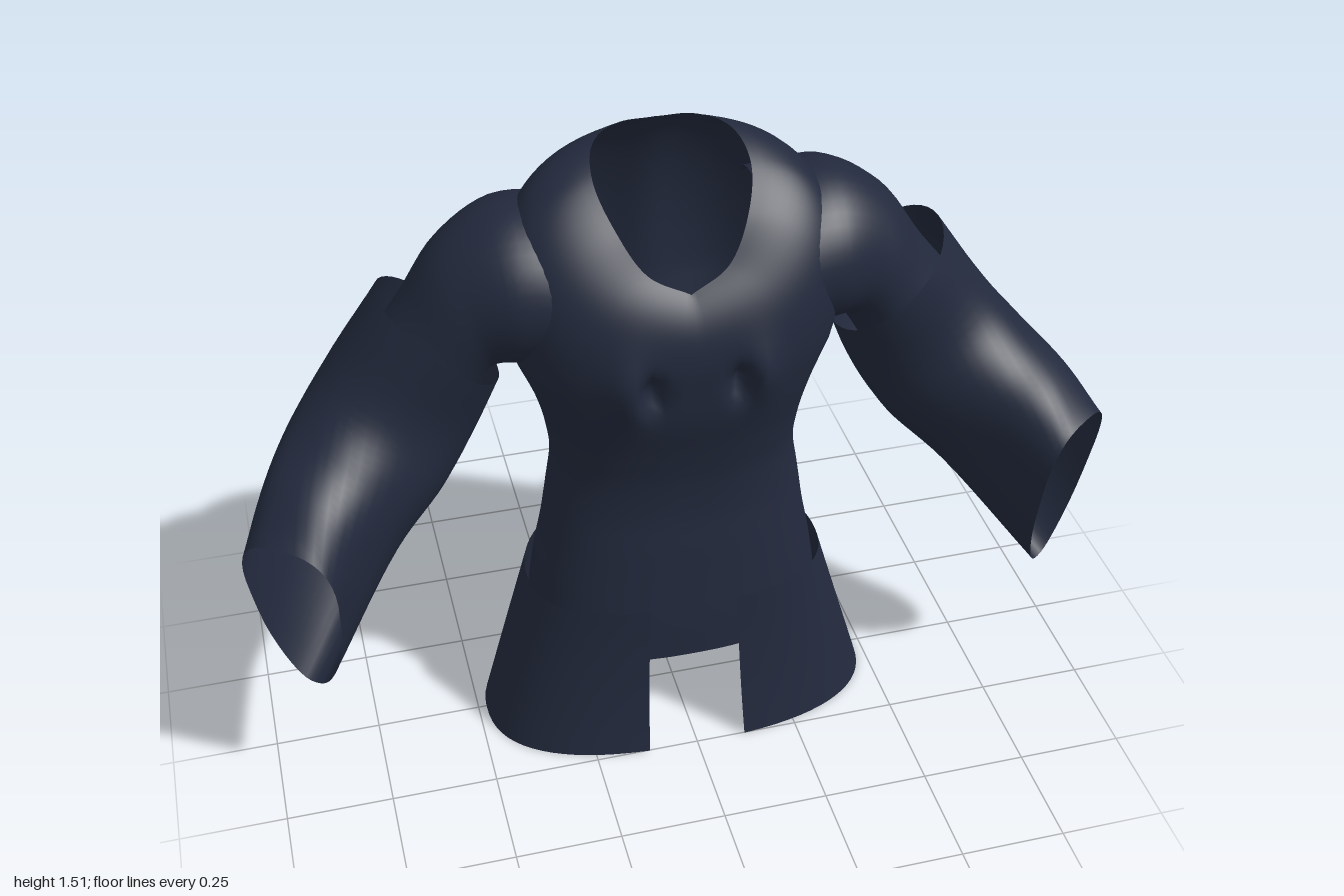
import * as THREE from 'three';

const cloth = new THREE.MeshStandardMaterial({ color: 0x22293c, side: THREE.DoubleSide });
const V = (x, y, z) => new THREE.Vector3(x, y, z);
const curve = (pts) => new THREE.CatmullRomCurve3(pts.map((p) => V(...p)));
const gauss = (d, w) => Math.exp(-(d * d) / (w * w));
const power = (x, e) => Math.sign(x) * Math.abs(x) ** e;

// Smooth sheet from point(u, v); u runs around, v runs along, optionally closed in u
function sheet(name, point, nu, nv, closed = true) {
  const cols = closed ? nu : nu + 1;
  const pos = [], idx = [];
  for (let j = 0; j <= nv; j++)
    for (let i = 0; i < cols; i++) pos.push(...point(i / nu, j / nv).toArray());
  for (let j = 0; j < nv; j++)
    for (let i = 0; i < nu; i++) {
      const k = (i + 1) % cols;
      const a = j * cols + i, b = j * cols + k;
      idx.push(a, b, a + cols, b, b + cols, a + cols);
    }
  const g = new THREE.BufferGeometry();
  g.setAttribute('position', new THREE.Float32BufferAttribute(pos, 3));
  g.setIndex(idx);
  g.computeVertexNormals();
  const mesh = new THREE.Mesh(g, cloth);
  mesh.name = name;
  return mesh;
}

// Rounded outline: half width, front and back depth, front and back squareness; angle 0 faces front
function outline(a, y, w, front, back, nFront, nBack) {
  const s = Math.sin(a), c = Math.cos(a), e = 2 / (c > 0 ? nFront : nBack);
  return V(power(s, e) * w, y, power(c, e) * (c > 0 ? front : back));
}

// Half width, front depth, back depth at equal height steps from hem to armpit
const body = curve([
  [0.36, 0.2, 0.27], [0.35, 0.195, 0.255], [0.335, 0.185, 0.245],
  [0.315, 0.175, 0.22], [0.3, 0.165, 0.2], [0.285, 0.17, 0.21],
  [0.295, 0.19, 0.225], [0.32, 0.215, 0.245], [0.36, 0.225, 0.262]]);

// Half of the neckline, from the front dip round to the nape
const neck = curve([
  [0, 1.25, 0.165], [0.088, 1.295, 0.142], [0.146, 1.385, 0.085], [0.172, 1.46, 0],
  [0.15, 1.5, -0.085], [0.085, 1.512, -0.135], [0, 1.512, -0.148]]);

function torsoPoint(u, v) {
  const a = (u * 2 - 1) * Math.PI;
  const split = 0.62;
  const t = Math.min(v / split, 1);
  const r = body.getPoint(t);
  let p = outline(a, 0.25 + 0.8 * t, r.x, r.y, r.z, 2.4, 2.3);
  const up = Math.max(0, (v - split) / (1 - split));
  if (up > 0) {
    // chest and shoulders curve over to the neckline
    const n = neck.getPoint(Math.abs(a) / Math.PI);
    if (a < 0) n.x *= -1;
    const s = Math.abs(Math.sin(a));
    const mid = V(p.x * (1.06 + 0.16 * s * s), p.y + (n.y - p.y) * (0.65 + 0.29 * s), p.z * 1.06);
    p = new THREE.QuadraticBezierCurve3(p, mid, n).getPoint(up);
  }
  const x = Math.abs(p.x);
  if (p.z > 0.1) {
    // small gathered folds on the chest
    p.z += 0.025 * gauss(x - 0.15, 0.05) * gauss(p.y - 1.05, 0.08);
    p.z -= 0.05 * gauss(x - 0.1, 0.022) * gauss(p.y - 1.04, 0.045);
  } else if (p.z < -0.1) {
    // spine groove and shoulder blades
    const h = gauss(p.y - 1.15, 0.28);
    p.z += h * (0.02 * gauss(x, 0.06) - 0.018 * gauss(x - 0.17, 0.09));
  }
  return p;
}

// Tube through rings given as [top, bottom, half-side vector]; side = 1 left, -1 right
function sleeve(name, rings, side, flare = 0) {
  const [top, bottom, half] = [0, 1, 2].map((k) => curve(rings.map((r) => r[k])));
  return sheet(name, (u, v) => {
    const a = u * Math.PI * 2 * side;
    const T = top.getPoint(v), B = bottom.getPoint(v), H = half.getPoint(v);
    const c = Math.cos(a), e = 1 - flare * v * 0.5;
    const p = T.clone().add(B).multiplyScalar(0.5)
      .addScaledVector(T.sub(B), 0.5 * power(c, e))
      .addScaledVector(H, power(Math.sin(a), e) * (1 + flare * v * c));
    p.x *= side;
    return p;
  }, 40, 24);
}

const upperArm = [
  [[0.2, 1.38, -0.06], [0.27, 1.05, -0.03], [0, 0, 0.2]],
  [[0.37, 1.395, -0.06], [0.355, 1.04, -0.04], [0, 0, 0.185]],
  [[0.5, 1.32, -0.06], [0.4, 1.035, -0.04], [0, 0, 0.15]],
  [[0.6, 1.18, -0.06], [0.43, 0.995, -0.04], [0, 0, 0.135]],
  [[0.72, 1.03, -0.04], [0.5, 0.87, -0.04], [-0.02, 0, 0.125]]];

const wideSleeve = [
  [[0.64, 1.22, -0.06], [0.39, 0.995, -0.04], [0, 0, 0.16]],
  [[0.765, 1.04, -0.04], [0.45, 0.86, -0.06], [-0.02, 0, 0.15]],
  [[0.835, 0.95, 0.04], [0.54, 0.725, -0.05], [-0.05, 0, 0.14]],
  [[0.89, 0.88, 0.16], [0.68, 0.59, 0.01], [-0.075, 0, 0.1]],
  [[0.92, 0.81, 0.25], [0.885, 0.35, 0.18], [-0.086, 0, 0.062]]];

// Skirt wraps from one side of the front gap round the back to the other
function skirtPoint(u, v) {
  const w = 0.48 - 0.12 * v;
  const front = 0.215 + 0.04 * (1 - v) ** 2;
  const gap = 0.12 - 0.015 * v;
  const n = 2.5;
  const start = Math.asin((gap / w) ** (n / 2));
  const a = start + u * (Math.PI * 2 - start * 2);
  return outline(a, 0.415 * v, w, front, 0.305 - 0.012 * v ** 3, n, 2);
}

export function createModel() {
  const group = new THREE.Group();
  group.name = 'jacket';
  group.add(sheet('torso', torsoPoint, 120, 60));
  group.add(sheet('skirt', skirtPoint, 72, 10, false));
  for (const [label, side] of [['left', 1], ['right', -1]]) {
    group.add(sleeve(label + 'UpperArm', upperArm, side));
    group.add(sleeve(label + 'WideSleeve', wideSleeve, side, 0.4));
  }
  return group;
}
